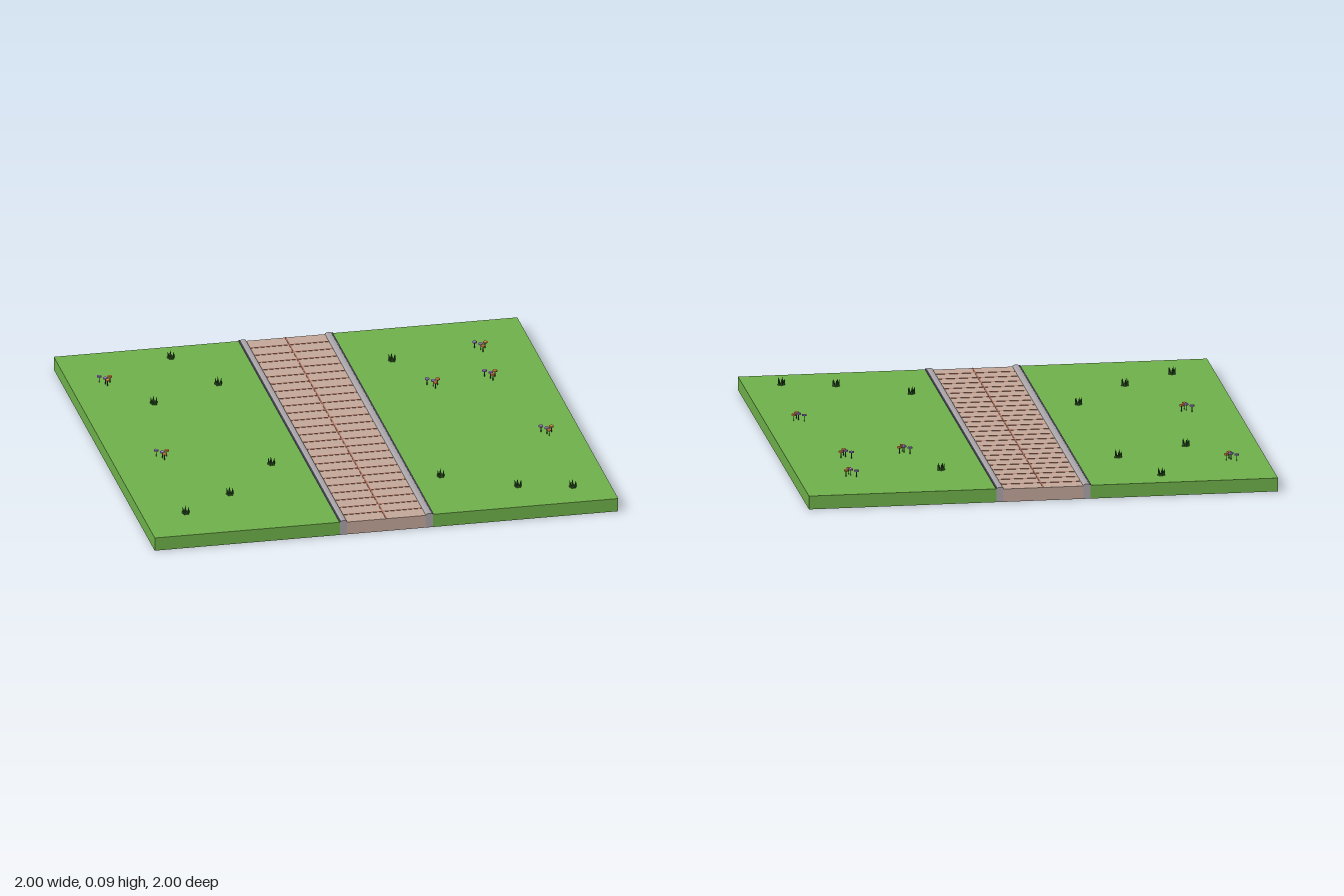
import * as THREE from 'three';

const mat = (name, color) => {
  const m = new THREE.MeshStandardMaterial({ color });
  m.name = name;
  return m;
};

export function createModel() {
  const grass = mat('grass green', 0x70b24b);
  const soil = mat('soil brown', 0x5d4037);
  const paving = mat('paving tan', 0xc5a89b);
  const joint = mat('joint red brown', 0xb0705c);
  const stone = mat('kerb grey', 0xaaa5a9);
  const slate = mat('kerb edge slate', 0x5a5870);
  const blade = mat('blade green', 0x2f5a24);
  const violet = mat('petal violet', 0xa184d0);
  const orange = mat('petal orange', 0xe58a45);

  const model = new THREE.Group();
  model.name = 'pathTile';
  const add = (parent, name, geometry, material, x, y, z) => {
    const mesh = new THREE.Mesh(geometry, material);
    mesh.name = name;
    mesh.position.set(x, y, z);
    parent.add(mesh);
    return mesh;
  };
  const TOP = 0.058;

  // Slab pieces have a soil underside
  const slab = (name, top, x, w, h) =>
    add(model, name, new THREE.BoxGeometry(w, h, 2), [top, top, top, soil, top, top], x, h / 2, 0);
  slab('path', paving, 0, 0.34, 0.056);

  // Lawns and kerbs on both sides
  const profile = new THREE.Shape();
  profile.moveTo(-0.015, 0);
  profile.lineTo(0.015, 0);
  profile.lineTo(0.015, 0.057);
  profile.quadraticCurveTo(0.014, 0.064, 0, 0.064);
  profile.quadraticCurveTo(-0.014, 0.064, -0.015, 0.057);
  const kerb = new THREE.ExtrudeGeometry(profile, { depth: 2, bevelEnabled: false, curveSegments: 4 });
  for (const s of [-1, 1]) {
    slab('lawn', grass, s * 0.6, 0.8, TOP);
    add(model, 'kerb', kerb, stone, s * 0.185, 0, -1);
    add(model, 'kerbEdge', new THREE.BoxGeometry(0.006, 0.006, 2), slate, s * 0.2, TOP + 0.001, 0);
  }
  const under = add(model, 'soilBase', new THREE.PlaneGeometry(2, 2), soil, 0, 0, 0);
  under.rotation.x = Math.PI / 2;

  // Paving joints: one long, twenty-four across
  add(model, 'centreJoint', new THREE.BoxGeometry(0.006, 0.002, 2), joint, 0, 0.0565, 0);
  for (let i = 0; i < 24; i++) {
    add(model, 'crossJoint', new THREE.BoxGeometry(0.335, 0.002, 0.007), joint, 0, 0.0565, -0.92 + i * 0.08);
  }

  // Grass tufts: five cones leaning outwards
  const cone = new THREE.ConeGeometry(0.007, 0.032, 4).translate(0, 0.015, 0);
  const tufts = [[-0.52, -0.88], [-0.385, -0.56], [-0.695, -0.415], [-0.35, 0.33], [-0.59, 0.61],
    [-0.815, 0.77], [0.32, 0.61], [0.615, 0.785], [0.84, 0.84], [0.385, -0.655]];
  for (const [x, z] of tufts) {
    const tuft = new THREE.Group();
    tuft.name = 'grassTuft';
    tuft.position.set(x, TOP, z);
    for (let i = 0; i < 5; i++) {
      const spoke = new THREE.Group();
      spoke.rotation.y = (i / 5) * Math.PI * 2 + Math.PI / 2;
      add(spoke, 'blade', cone, blade, 0.01, 0, 0).rotation.z = -0.15;
      tuft.add(spoke);
    }
    model.add(tuft);
  }

  // Flower clusters: thin stems with flat heads
  const stem = new THREE.CylinderGeometry(0.002, 0.002, 0.026, 5);
  const head = new THREE.CylinderGeometry(0.01, 0.01, 0.006, 8);
  const heads = [[-0.021, -0.021, violet], [0, 0.004, violet], [0.022, -0.01, orange], [0.005, 0.026, orange]];
  const clusters = [[-0.85, -0.67], [0.775, -0.695], [0.75, -0.385], [0.495, -0.35], [-0.785, 0.16], [0.855, 0.25]];
  for (const [x, z] of clusters) {
    const cluster = new THREE.Group();
    cluster.name = 'flowerCluster';
    cluster.position.set(x, TOP, z);
    for (const [dx, dz, petal] of heads) {
      add(cluster, 'stem', stem, blade, dx, 0.013, dz);
      add(cluster, 'flowerHead', head, petal, dx, 0.027, dz);
    }
    model.add(cluster);
  }
  return model;
}
